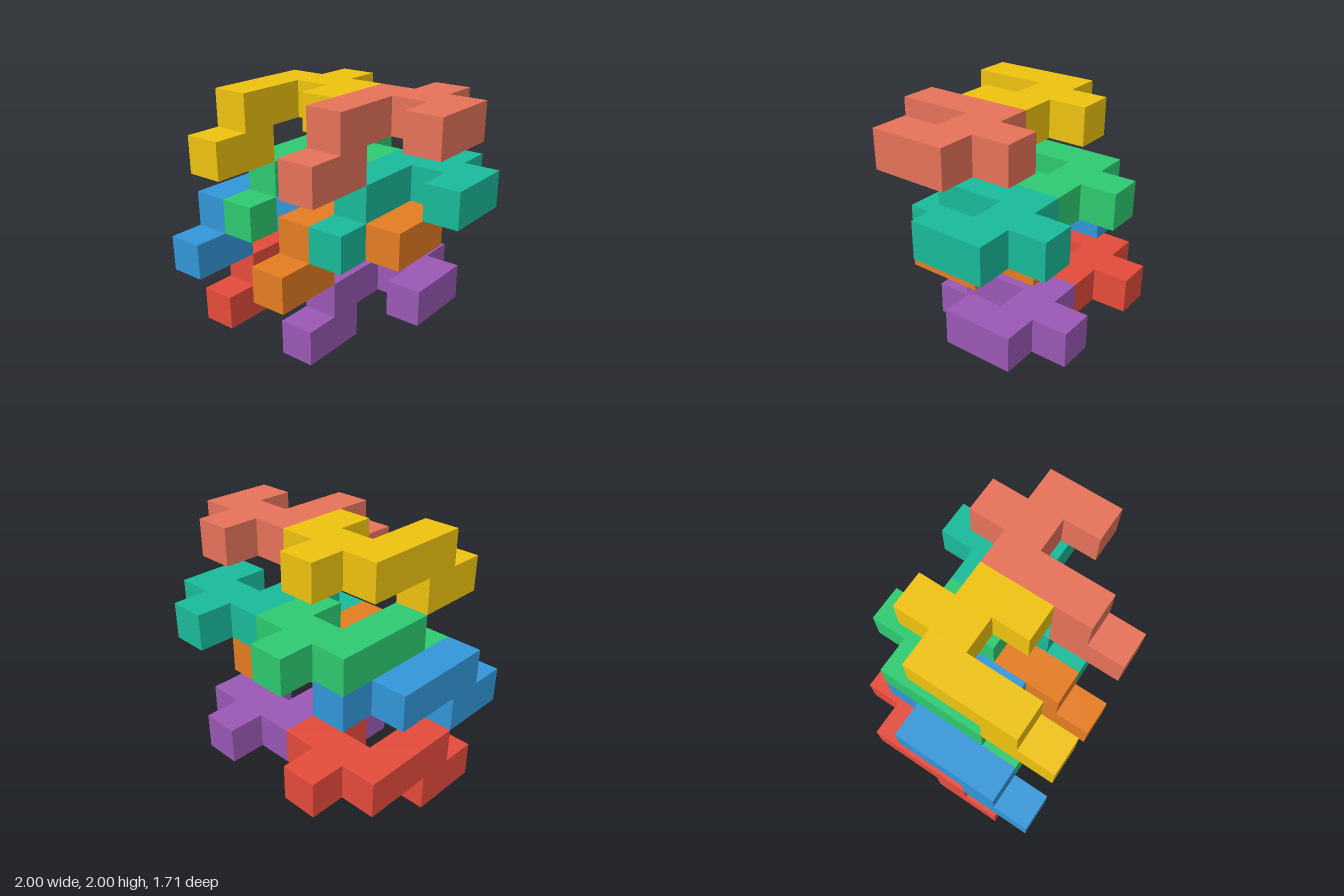
import * as THREE from 'three';
import { mergeGeometries } from 'three/addons/utils/BufferGeometryUtils.js';

const U = 2 / 7; // edge of one unit cube

// Cubes of one puzzle piece: [x, y, z] in grid steps.
// A branching plate on level 1, with a two-cube foot under its front arm.
const CELLS = [
  [0, 1, 2], [0, 1, 3], [0, 1, 4], // long front arm
  [1, 1, 1], [1, 1, 2],            // back stub
  [2, 1, 2], [2, 1, 3],            // side hook
  [0, 0, 4], [0, 0, 5],            // stepped foot
];

// Outward directions of a cube, with the rotation that turns a plane (+z) to face each.
const SIDES = [
  [[0, 0, 1], [0, 0]], [[0, 0, -1], [0, Math.PI]],
  [[1, 0, 0], [0, Math.PI / 2]], [[-1, 0, 0], [0, -Math.PI / 2]],
  [[0, 1, 0], [-Math.PI / 2, 0]], [[0, -1, 0], [Math.PI / 2, 0]],
];

// Solid skin of the piece: only faces that do not touch another cube of it.
function pieceGeometry() {
  const filled = new Set(CELLS.map(String));
  const faces = [];
  for (const cell of CELLS) {
    for (const [dir, [rx, ry]] of SIDES) {
      if (filled.has(String(cell.map((c, i) => c + dir[i])))) continue;
      const p = cell.map((c, i) => (c + 0.5 + dir[i] / 2) * U);
      faces.push(new THREE.PlaneGeometry(U, U).rotateX(rx).rotateY(ry).translate(...p));
    }
  }
  return mergeGeometries(faces);
}

// Name, colour and grid offset of each interlocking piece.
const PIECES = [
  ['redPiece', 0xe74c3c, [0, 0, -1]],
  ['purplePiece', 0x9b59b6, [3, 0, -1]],
  ['bluePiece', 0x3498db, [0, 2, 0]],
  ['orangePiece', 0xe67e22, [3, 2, 0]],
  ['greenPiece', 0x2ecc71, [1, 3, -1]],
  ['tealPiece', 0x1abc9c, [4, 3, -1]],
  ['yellowPiece', 0xf1c40f, [1, 5, 0]],
  ['salmonPiece', 0xe8735a, [4, 5, 0]],
];

export function createModel() {
  const model = new THREE.Group();
  model.name = 'interlockingCubePieces';
  const geometry = pieceGeometry();
  for (const [name, color, [x, y, z]] of PIECES) {
    const piece = new THREE.Mesh(geometry, new THREE.MeshStandardMaterial({ color }));
    piece.name = name;
    piece.position.set((x - 3.5) * U, y * U, (z - 3) * U);
    model.add(piece);
  }
  return model;
}
